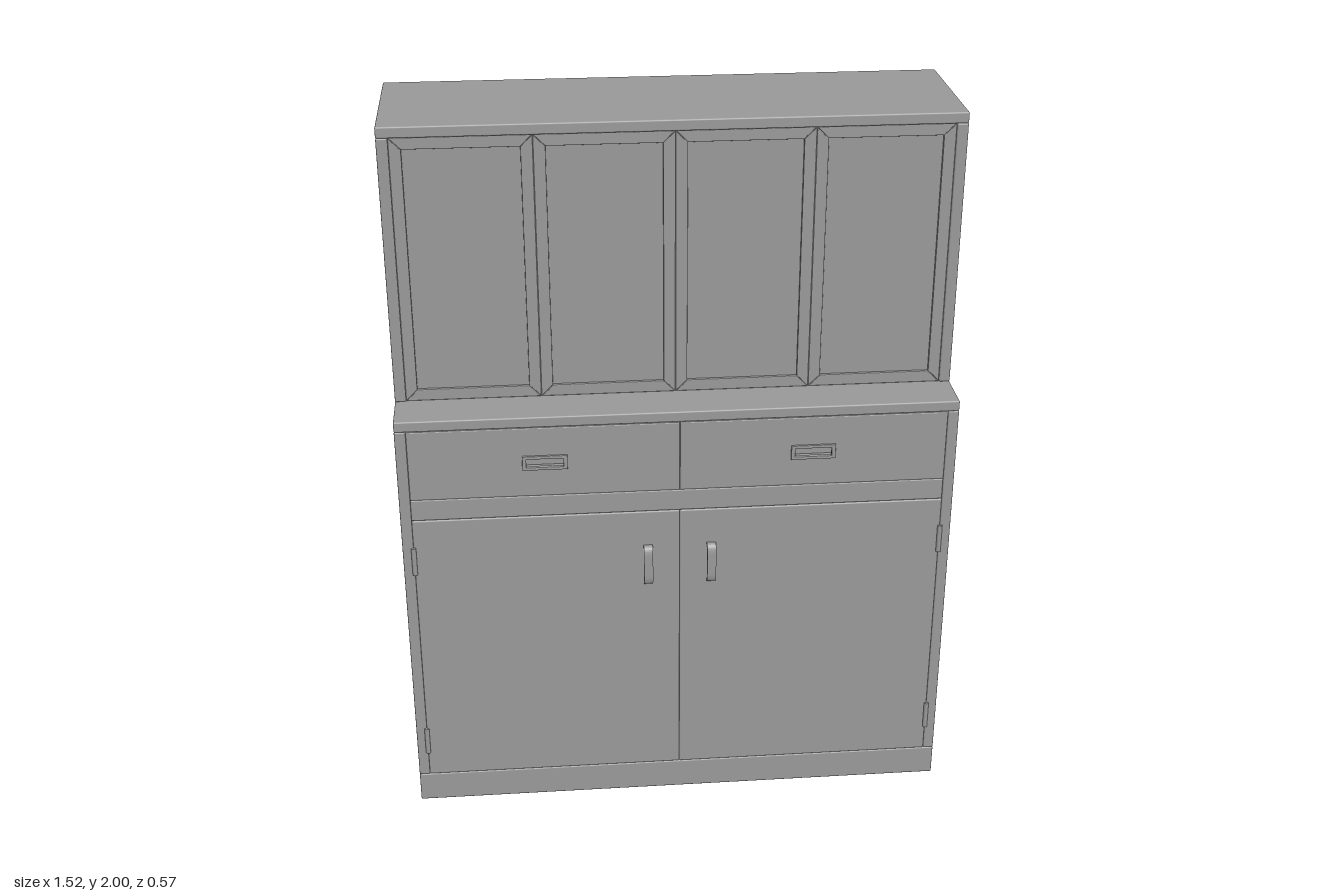
import * as THREE from 'three';
import { RoundedBoxGeometry } from 'three/addons/geometries/RoundedBoxGeometry.js';

const W = 0.762, INNER = 0.732;          // outer and inner half widths
const BACK = -0.282, FRONT = 0.263, UPPER = 0.136;
const material = new THREE.MeshStandardMaterial({ color: 0x9a9a9a });

export function createModel() {
  const cabinet = new THREE.Group();
  cabinet.name = 'cupboard';

  const add = (name, geometry, parent = cabinet) => {
    const mesh = new THREE.Mesh(geometry, material);
    mesh.name = name;
    parent.add(mesh);
    return mesh;
  };
  // Softly edged board given by its limits on each axis
  const board = (name, x0, x1, y0, y1, z0, z1, parent = cabinet) => {
    const g = new RoundedBoxGeometry(x1 - x0, y1 - y0, z1 - z0, 2, 0.004);
    return add(name, g.translate((x0 + x1) / 2, (y0 + y1) / 2, (z0 + z1) / 2), parent);
  };
  const outline = (Type, points) => new Type(points.map(([x, y]) => new THREE.Vector2(x, y)));
  const rect = (Type, x0, x1, y0, y1) => outline(Type, [[x0, y0], [x1, y0], [x1, y1], [x0, y1]]);
  // Plate cut from a shape, with a small bevel kept inside its outline, its front at z
  const plate = (shape, depth, bevel, z) => new THREE.ExtrudeGeometry(shape, {
    depth: depth - 2 * bevel, bevelSize: bevel, bevelThickness: bevel, bevelOffset: -bevel, bevelSegments: 2,
  }).translate(0, 0, z - depth + bevel);

  // Horizontal boards
  board('plinth', -W, W, 0, 0.09, BACK, FRONT);
  board('counter', -W, W, 1.205, 1.235, BACK, FRONT);
  board('topBoard', -W, W, 1.97, 2, BACK, UPPER);

  // Side walls
  for (const s of [-1, 1]) {
    const x0 = s < 0 ? -W : INNER, x1 = s < 0 ? -INNER : W;
    board('lowerSide', x0, x1, 0.09, 1.205, BACK, FRONT);
    board('upperSide', x0, x1, 1.235, 1.97, BACK, UPPER);
  }

  // Back panels between the side walls
  board('lowerBack', -INNER, INNER, 0.09, 1.205, BACK, BACK + 0.02);
  board('upperBack', -INNER, INNER, 1.235, 1.97, BACK, BACK + 0.02);

  // Rail between drawers and doors
  board('rail', -INNER, INNER, 0.935, 0.998, FRONT - 0.025, FRONT - 0.002);

  // Drawer fronts with an opening for the recessed pull
  const addDrawer = (s) => {
    const drawer = new THREE.Group();
    drawer.name = s > 0 ? 'leftDrawer' : 'rightDrawer';
    cabinet.add(drawer);
    const cx = s * 0.365, cy = 1.1;
    const front = rect(THREE.Shape, Math.min(0, s * INNER), Math.max(0, s * INNER), 0.998, 1.205);
    front.holes.push(rect(THREE.Path, cx - 0.054, cx + 0.054, cy - 0.015, cy + 0.015));
    add('drawerFront', plate(front, 0.022, 0.004, FRONT), drawer);
    // Pull frame and the cup behind it
    const frame = rect(THREE.Shape, cx - 0.061, cx + 0.061, cy - 0.021, cy + 0.021);
    frame.holes.push(rect(THREE.Path, cx - 0.05, cx + 0.05, cy - 0.012, cy + 0.012));
    add('pullFrame', plate(frame, 0.012, 0.002, FRONT + 0.006), drawer);
    add('pullCup', new THREE.BoxGeometry(0.12, 0.04, 0.006).translate(cx, cy, FRONT - 0.023), drawer);
  };

  // Bowed strip profile for the door handle: u points forwards, v upwards
  const handleShape = new THREE.Shape();
  const h = 0.06, t = 0.006, reach = 0.022;
  handleShape.moveTo(-0.003, -h);
  handleShape.lineTo(0.006, -h);
  handleShape.quadraticCurveTo(reach, -h, reach, -h + 0.03);
  handleShape.lineTo(reach, h - 0.03);
  handleShape.quadraticCurveTo(reach, h, 0.006, h);
  handleShape.lineTo(-0.003, h);
  handleShape.lineTo(-0.003, h - t);
  handleShape.lineTo(0.005, h - t);
  handleShape.quadraticCurveTo(reach - t, h - t, reach - t, h - 0.03);
  handleShape.lineTo(reach - t, -h + 0.03);
  handleShape.quadraticCurveTo(reach - t, -h + t, 0.005, -h + t);
  handleShape.lineTo(-0.003, -h + t);

  for (const s of [-1, 1]) {
    addDrawer(s);
    const door = new THREE.Group();
    door.name = s > 0 ? 'leftDoor' : 'rightDoor';
    cabinet.add(door);
    board('doorPanel', Math.min(0, s * INNER), Math.max(0, s * INNER), 0.09, 0.935,
      FRONT - 0.025, FRONT, door);
    const grip = new THREE.ExtrudeGeometry(handleShape, { depth: 0.025, bevelEnabled: false, curveSegments: 8 });
    add('handle', grip.translate(0, 0, -0.0125).rotateY(-Math.PI / 2)
      .translate(s * 0.088, 0.77, FRONT - 0.001), door);
    for (const y of [0.21, 0.81])
      add('hinge', new THREE.CylinderGeometry(0.007, 0.007, 0.084, 12)
        .translate(s * INNER, y, FRONT), door);
  }

  // Upper doors: four flat mitred bars around a recessed panel
  const y0 = 1.235, y1 = 1.97, b = 0.032, zBar = UPPER - 0.006, zPanel = zBar - 0.008;
  const doorWidth = INNER / 2;
  for (let i = 0; i < 4; i++) {
    const x0 = -INNER + i * doorWidth, x1 = x0 + doorWidth;
    const door = new THREE.Group();
    door.name = 'upperDoor';
    cabinet.add(door);
    const outer = [[x0, y0], [x1, y0], [x1, y1], [x0, y1]];
    const inner = [[x0 + b, y0 + b], [x1 - b, y0 + b], [x1 - b, y1 - b], [x0 + b, y1 - b]];
    for (let c = 0; c < 4; c++) {
      const n = (c + 1) % 4;
      const bar = outline(THREE.Shape, [outer[c], outer[n], inner[n], inner[c]]);
      add('frameBar', plate(bar, 0.02, 0.002, zBar), door);
    }
    add('glassPanel', new THREE.BoxGeometry(doorWidth, y1 - y0, 0.008)
      .translate((x0 + x1) / 2, (y0 + y1) / 2, zPanel - 0.004), door);
  }
  return cabinet;
}
